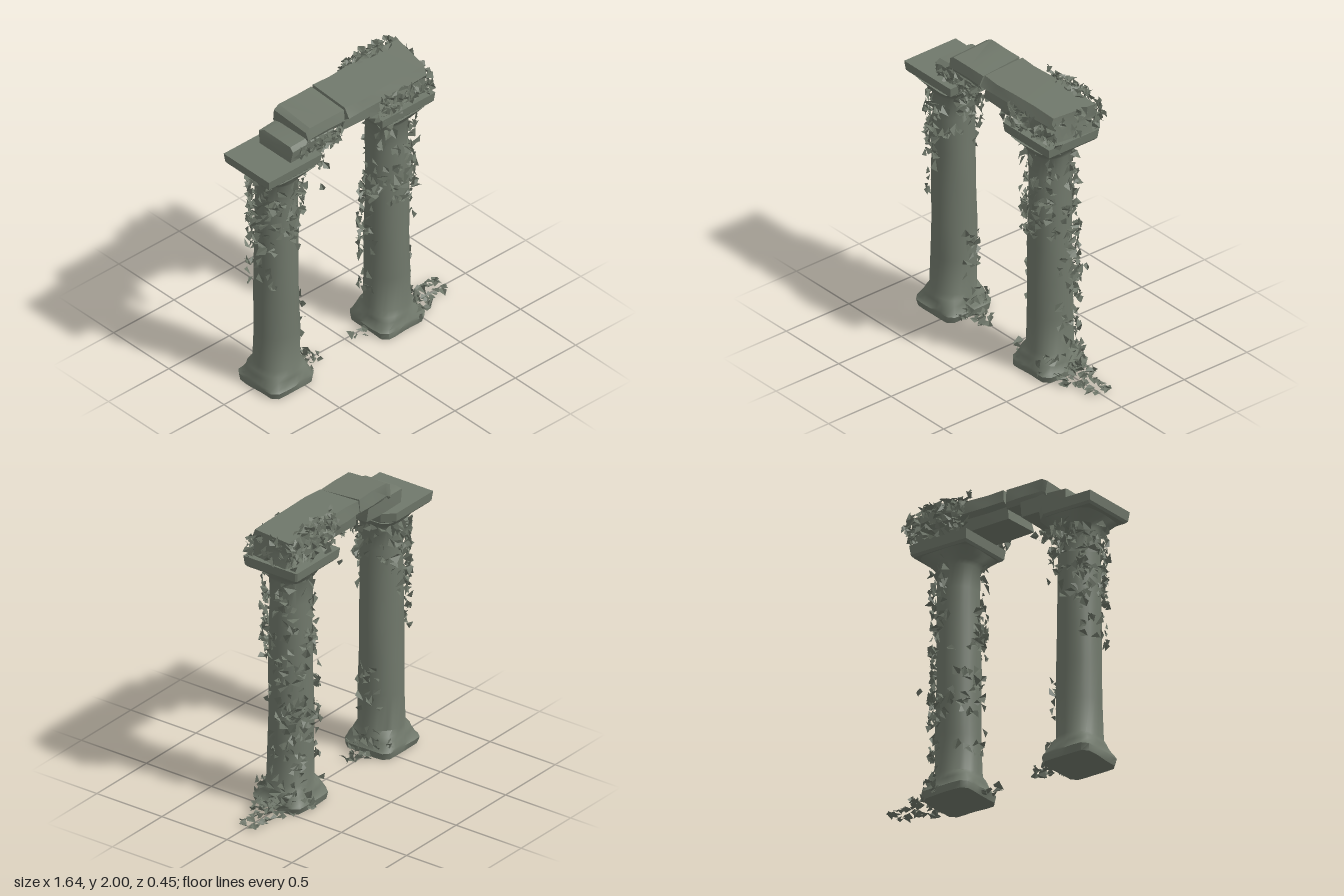
import * as THREE from 'three';
import { toCreasedNormals } from 'three/addons/utils/BufferGeometryUtils.js';

const stone = new THREE.MeshStandardMaterial({ color: 0x70786b });
stone.name = 'mossy stone';
const ivy = new THREE.MeshStandardMaterial({ color: 0x6c7467, side: THREE.DoubleSide });
ivy.name = 'ivy leaf';

let seed = 7;
const rnd = () => {
  seed = (seed * 16807) % 2147483647;
  return seed / 2147483647;
};
const between = (a, b) => a + (b - a) * rnd();

function toGeometry(positions) {
  const g = new THREE.BufferGeometry();
  g.setAttribute('position', new THREE.Float32BufferAttribute(positions, 3));
  g.computeVertexNormals();
  return g;
}

// Skin over a series of closed rings, with a cap at each end
function loft(rings, crease = 0.7) {
  const pos = [];
  const tri = (...pts) => pts.forEach((p) => pos.push(p.x, p.y, p.z));
  const n = rings[0].length;
  const centre = (r) => r.reduce((s, p) => s.add(p), new THREE.Vector3()).divideScalar(n);
  const first = rings[0], last = rings[rings.length - 1];
  const c0 = centre(first), c1 = centre(last);
  for (let j = 0; j < n; j++) {
    const k = (j + 1) % n;
    for (let i = 0; i < rings.length - 1; i++) {
      const a = rings[i], b = rings[i + 1];
      tri(a[j], a[k], b[k]);
      tri(a[j], b[k], b[j]);
    }
    tri(c0, first[k], first[j]);
    tri(c1, last[j], last[k]);
  }
  return toCreasedNormals(toGeometry(pos), crease);
}

// Column rows: height, half width, squareness (2 is round, larger is square)
const columnRows = [
  [0, 0.172, 9], [0.045, 0.182, 9], [0.06, 0.172, 7], [0.1, 0.162, 4], [0.13, 0.156, 3],
  [0.16, 0.147, 2], [0.4, 0.143, 2], [0.65, 0.14, 2], [0.9, 0.138, 2], [1.15, 0.135, 2],
  [1.4, 0.132, 2], [1.55, 0.134, 2], [1.575, 0.148, 2.4], [1.6, 0.165, 3], [1.64, 0.192, 6],
];

function column(phase) {
  const rings = columnRows.map(([y, w, n], row) => Array.from({ length: 28 }, (_, j) => {
    const a = (j / 28) * Math.PI * 2;
    const c = Math.cos(a), s = Math.sin(a);
    const worn = 1 + 0.018 * Math.sin(a * 3 + row * 1.7 + phase) + 0.012 * Math.sin(a * 5 - row * 2.3);
    const r = (w * worn) / Math.pow(Math.abs(c) ** n + Math.abs(s) ** n, 1 / n);
    return new THREE.Vector3(r * c, y, -r * s);
  }));
  return loft(rings, 0.8);
}

// Square capital slab, a little narrower below
function abacus(chip) {
  const ring = (y, x, z) => [
    [x, z], [x, -z + chip], [x - chip, -z], [-x, -z], [-x, z],
  ].map(([px, pz]) => new THREE.Vector3(px, y, pz));
  return loft([ring(1.635, 0.2, 0.185), ring(1.65, 0.212, 0.198), ring(1.712, 0.22, 0.205)], 0.4);
}

// Weathered beam along x; profile points are [z, y]
function beam(profile, stations, wear) {
  return loft(stations.map(([x, slant, drop]) => profile.map(([z, y]) => new THREE.Vector3(
    x + slant * z * 2 + between(-wear, wear),
    y - drop + between(-wear, wear) * 0.4,
    z + between(-wear, wear) * 0.6,
  ))), 0.5);
}

// One folded kite-shaped leaf added to a list of positions
function addLeaf(pos, p, normal, size) {
  const n = normal.clone().add(new THREE.Vector3(between(-0.8, 0.8), between(-0.8, 0.8), between(-0.8, 0.8))).normalize();
  const u = new THREE.Vector3(between(-1, 1), between(-1, 1), between(-1, 1)).cross(n).normalize();
  const v = n.clone().cross(u);
  const at = (a, b, c) => p.clone().addScaledVector(u, a * size).addScaledVector(v, b * size)
    .addScaledVector(n, c * size).clamp(new THREE.Vector3(-0.82, 0.003, -0.26), new THREE.Vector3(0.82, 2, 0.25));
  const stem = at(0, -0.6, 0), tip = at(between(-0.3, 0.3), 0.7, between(-0.3, 0.2));
  const left = at(-0.5, between(-0.2, 0.2), 0.3), right = at(0.5, between(-0.2, 0.2), 0.3);
  [stem, tip, left, stem, right, tip].forEach((q) => pos.push(q.x, q.y, q.z));
}

export function createModel() {
  const model = new THREE.Group();
  const add = (name, geometry, material, x = 0, y = 0, z = 0) => {
    const m = new THREE.Mesh(geometry, material);
    m.name = name;
    m.position.set(x, y, z);
    model.add(m);
  };

  // Columns and capitals
  const columnX = { right: -0.58, left: 0.335 };
  add('rightColumn', column(0), stone, columnX.right, 0, 0.015);
  add('leftColumn', column(2), stone, columnX.left, 0, 0.015);
  add('rightCapital', abacus(0.07), stone, -0.6, 0, 0.005);
  add('leftCapital', abacus(0.01), stone, 0.34, 0, 0.005);

  // Broken lintel: long moulded block, upper stub, lower stub
  add('longLintel', beam(
    [[0.14, 1.73], [-0.12, 1.73], [-0.13, 1.81], [-0.16, 1.835], [-0.15, 1.92], [0.15, 1.9], [0.175, 1.84], [0.14, 1.815]],
    [[-0.135, 0, 0], [0, 0, 0], [0.16, 0.05, 0], [0.36, 0, 0], [0.55, -0.06, 0.005]], 0.014), stone);
  add('upperStub', beam(
    [[0.15, 1.795], [-0.13, 1.795], [-0.155, 1.83], [-0.145, 1.915], [0.145, 1.895], [0.168, 1.83]],
    [[-0.45, 0, 0.02], [-0.42, 0, 0], [-0.28, 0, 0], [-0.145, 0, 0]], 0.008), stone);
  add('lowerStub', beam(
    [[0.15, 1.71], [-0.13, 1.71], [-0.14, 1.81], [-0.1, 1.825], [0.13, 1.825], [0.16, 1.8]],
    [[-0.58, 0, 0.005], [-0.42, 0, 0], [-0.24, 0, 0]], 0.008), stone);

  // Ivy around columns: side, lowest, highest, first and last angle (0 is +x, 90 is +z), count
  const wraps = [
    ['right', 1.25, 1.6, 60, 300, 120], ['right', 1.05, 1.3, 80, 280, 45],
    ['right', 0.8, 1.05, 130, 230, 16], ['right', 1.3, 1.6, -60, 60, 28],
    ['right', 0.05, 0.7, -35, 20, 24], ['right', 0.02, 0.12, -60, 40, 16],
    ['left', 1.0, 1.25, 0, 200, 70], ['left', 0.05, 1.0, -70, 20, 70],
    ['left', 1.0, 1.6, -100, 0, 50], ['left', 1.25, 1.62, 20, 160, 34],
    ['left', 0.25, 1.1, 160, 250, 40], ['left', 0.45, 0.75, -110, -30, 24],
    ['left', 0.02, 0.16, -80, 60, 34],
  ];
  for (const side of ['right', 'left']) {
    const pos = [];
    for (const [, low, high, from, to, count] of wraps.filter((w) => w[0] === side)) {
      for (let i = 0; i < count; i++) {
        const a = THREE.MathUtils.degToRad(between(from, to)), y = between(low, high);
        const n = new THREE.Vector3(Math.cos(a), 0, Math.sin(a));
        const r = between(0.142, 0.178) + (y < 0.14 ? 0.03 : 0);
        addLeaf(pos, new THREE.Vector3(columnX[side] + n.x * r, y, 0.015 + n.z * r), n, between(0.035, 0.065));
      }
    }
    add(side + 'ColumnIvy', toGeometry(pos), ivy);
  }

  // Ivy patches: name, x range, y range, z range, normal, count
  const patches = [
    ['frontLintelIvy', [0.06, 0.55], [1.71, 1.86], [0.16, 0.2], [0, 0, 1], 60],
    ['backLintelIvy', [0.14, 0.58], [1.74, 1.94], [-0.2, -0.15], [0, 0, -1], 85],
    ['topLintelIvy', [0.1, 0.5], [1.92, 1.95], [-0.19, -0.11], [0, 1, 0], 36],
    ['lintelEndIvy', [0.53, 0.58], [1.72, 1.9], [-0.18, 0.16], [1, 0, 0], 36],
    ['stubIvy', [-0.55, -0.16], [1.71, 1.82], [0.15, 0.18], [0, 0, 1], 44],
    ['hangingIvy', [-0.36, -0.22], [1.63, 1.76], [0.04, 0.17], [0, 0, 1], 26],
    ['hangingTipIvy', [-0.33, -0.28], [1.52, 1.66], [0.1, 0.16], [0, 0, 1], 9],
    ['leftGroundIvy', [0.48, 0.66], [0.005, 0.06], [-0.12, 0.12], [0, 1, 0], 34],
    ['leftGroundTrailNear', [0.62, 0.8], [0.005, 0.025], [0.02, 0.06], [0, 2, 0], 10],
    ['leftGroundTrailFar', [0.66, 0.81], [0.005, 0.025], [-0.07, -0.03], [0, 2, 0], 10],
    ['rightGroundIvy', [-0.4, -0.24], [0.005, 0.04], [-0.06, 0.08], [0, 1, 0], 16],
    ['innerGroundIvy', [0.03, 0.18], [0.005, 0.03], [0, 0.1], [0, 1, 0], 6],
  ];
  for (const [name, x, y, z, n, count] of patches) {
    const pos = [];
    for (let i = 0; i < count; i++) {
      addLeaf(pos, new THREE.Vector3(between(...x), between(...y), between(...z)), new THREE.Vector3(...n), between(0.035, 0.06));
    }
    add(name, toGeometry(pos), ivy);
  }

  // Upright sprig on the lintel and two loose leaves
  const sprig = [];
  [[0.14, 1.965, -0.15], [0.14, 1.985, -0.15], [-0.28, 1.35, 0.1], [0.55, 0.76, -0.1]].forEach((p) => {
    addLeaf(sprig, new THREE.Vector3(...p), new THREE.Vector3(0, 0, 1), 0.04);
  });
  add('looseLeaves', toGeometry(sprig), ivy);
  return model;
}
